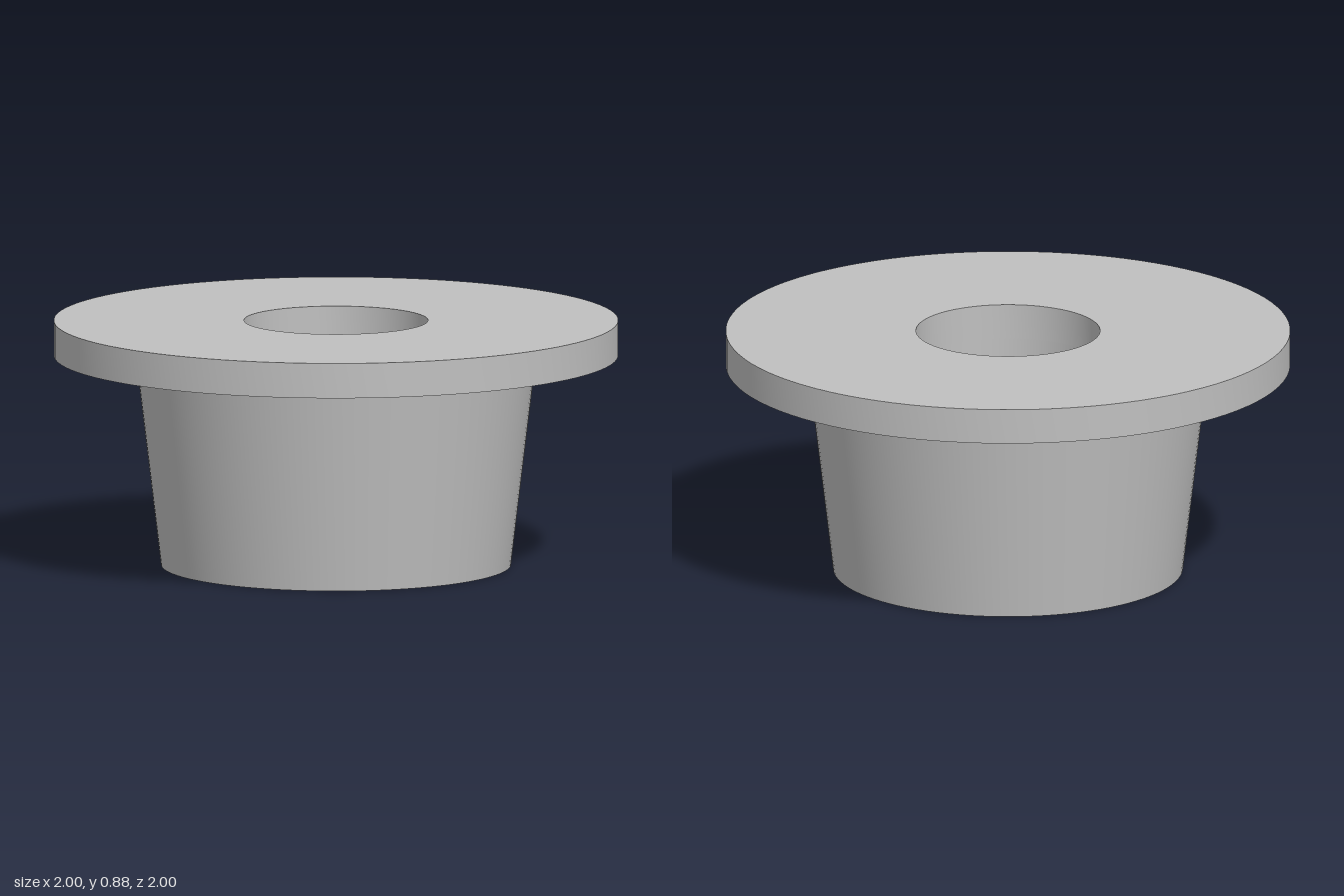
import * as THREE from 'three';
import { toCreasedNormals } from 'three/addons/utils/BufferGeometryUtils.js';

const BORE = 0.326;
const HUB_BOTTOM = 0.62;
const HUB_TOP = 0.71;
const FLANGE_RADIUS = 1;
const FLANGE_BOTTOM = 0.75;
const HEIGHT = 0.875;

// Revolves a profile of [radius, y] points, keeping its corners sharp
function turned(name, profile, material) {
  const points = profile.map(([r, y]) => new THREE.Vector2(r, y));
  const geometry = toCreasedNormals(new THREE.LatheGeometry(points, 96), Math.PI / 6);
  const mesh = new THREE.Mesh(geometry, material);
  mesh.name = name;
  return mesh;
}

export function createModel() {
  const grey = new THREE.MeshStandardMaterial({ color: 0xbfbfbf });
  grey.name = 'plain grey';

  const model = new THREE.Group();
  model.name = 'flangedBushing';

  // Tapered hub: bore wall, bottom ring, sloping outside
  model.add(turned('hub', [
    [BORE, FLANGE_BOTTOM], [BORE, 0], [HUB_BOTTOM, 0], [HUB_TOP, FLANGE_BOTTOM],
  ], grey));

  // Flange: underside, rim, top ring, bore wall
  model.add(turned('flange', [
    [HUB_TOP, FLANGE_BOTTOM], [FLANGE_RADIUS, FLANGE_BOTTOM], [FLANGE_RADIUS, HEIGHT],
    [BORE, HEIGHT], [BORE, FLANGE_BOTTOM],
  ], grey));

  return model;
}
